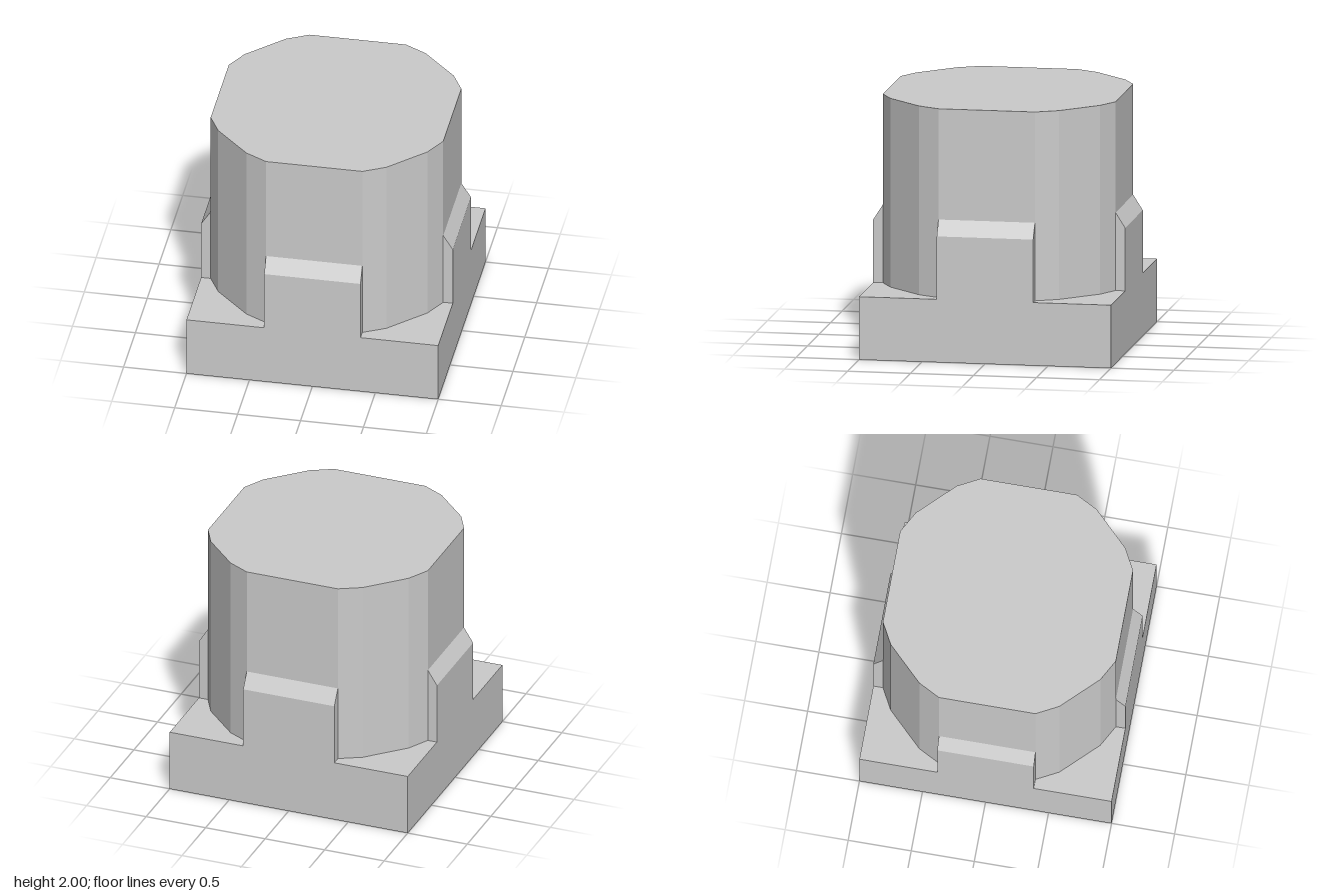
import * as THREE from 'three';

const BASE_HEIGHT = 0.5;
const RADIUS = 1;

export function createModel() {
  const group = new THREE.Group();
  const material = new THREE.MeshStandardMaterial({ color: 0xcccccc, flatShading: true });

  const add = (name, geometry) => {
    const mesh = new THREE.Mesh(geometry, material);
    mesh.name = name;
    group.add(mesh);
    return mesh;
  };

  // Square plinth
  add('plinth', new THREE.BoxGeometry(2, BASE_HEIGHT, 2)).position.y = BASE_HEIGHT / 2;

  // Sixteen-point outline with the diagonal and axial points left out
  const outline = [];
  for (let quarter = 0; quarter < 4; quarter++) {
    for (const degrees of [22.5, 33.75, 56.25, 67.5]) {
      const a = THREE.MathUtils.degToRad(degrees + quarter * 90);
      outline.push(new THREE.Vector2(RADIUS * Math.cos(a), RADIUS * Math.sin(a)));
    }
  }
  const column = new THREE.ExtrudeGeometry(new THREE.Shape(outline), {
    depth: 2 - BASE_HEIGHT,
    bevelEnabled: false,
  });
  column.rotateX(-Math.PI / 2);
  add('column', column).position.y = BASE_HEIGHT;

  // Sloped-top buttress on each side, flush with the plinth
  const face = Math.cos(Math.PI / 8);
  const halfWidth = Math.sin(Math.PI / 8);
  const profile = new THREE.Shape([
    new THREE.Vector2(face - 0.03, BASE_HEIGHT),
    new THREE.Vector2(1, BASE_HEIGHT),
    new THREE.Vector2(1, 1),
    new THREE.Vector2(face, 1.12),
    new THREE.Vector2(face - 0.03, 1.12),
  ]);
  const buttress = new THREE.ExtrudeGeometry(profile, { depth: 2 * halfWidth, bevelEnabled: false });
  buttress.translate(0, 0, -halfWidth).rotateY(-Math.PI / 2);
  ['front', 'left', 'back', 'right'].forEach((side, i) => {
    add(`${side}Buttress`, buttress).rotation.y = (i * Math.PI) / 2;
  });

  return group;
}
